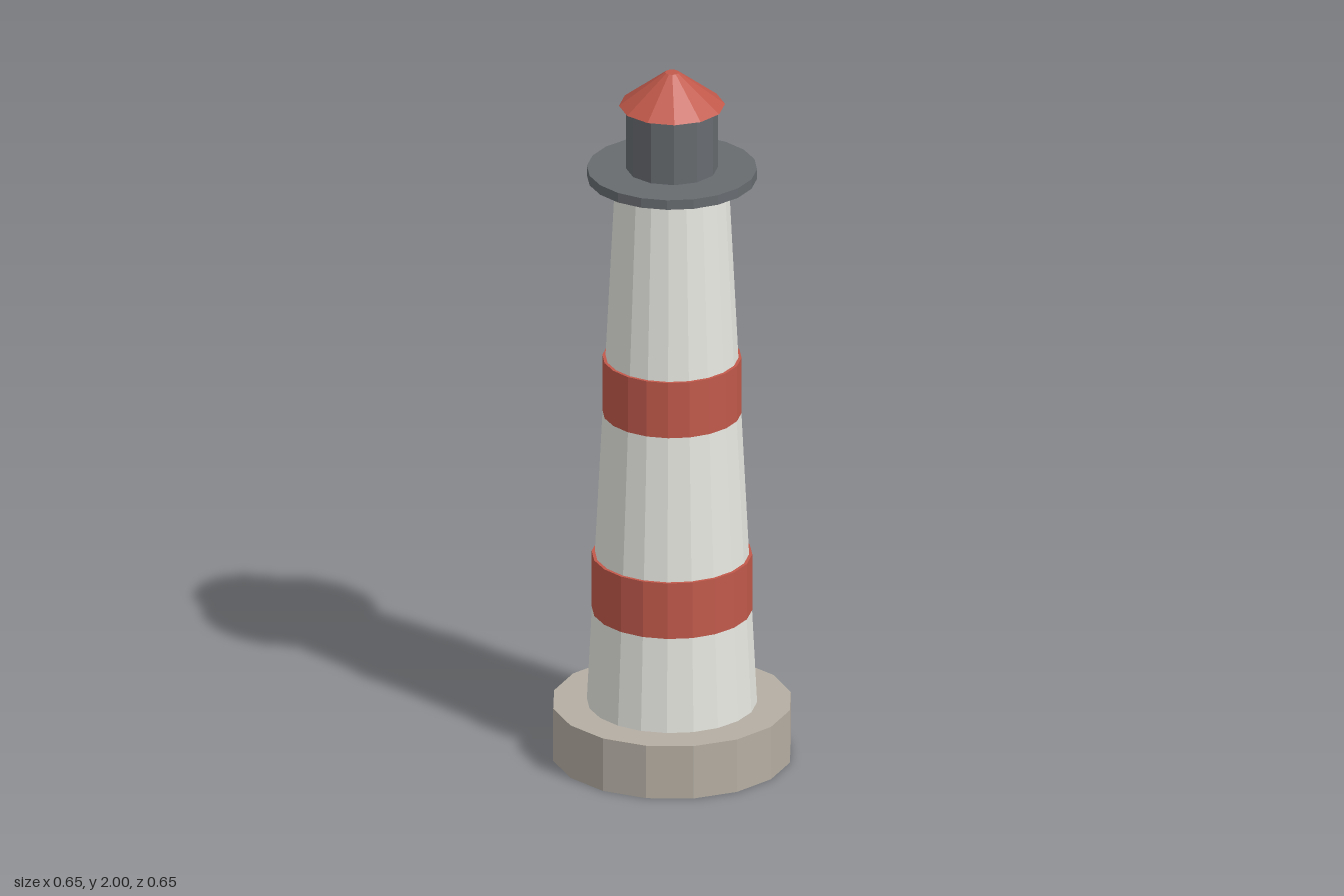
import * as THREE from 'three';

const material = (name, color) => {
  const m = new THREE.MeshStandardMaterial({ color, flatShading: true });
  m.name = name;
  return m;
};

export function createModel() {
  const stone = material('stone', 0xb5aea3);
  const white = material('white', 0xe8e8e2);
  const red = material('red', 0xc1594b);
  const iron = material('iron', 0x676b6f);

  const model = new THREE.Group();
  model.name = 'lighthouse';

  // Faceted drum between two heights, with bottom and top radii
  const drum = (name, mat, y0, y1, r0, r1, sides) => {
    const mesh = new THREE.Mesh(new THREE.CylinderGeometry(r1, r0, y1 - y0, sides), mat);
    mesh.name = name;
    mesh.position.y = (y0 + y1) / 2;
    model.add(mesh);
  };

  drum('foundation', stone, 0, 0.154, 0.327, 0.327, 16);
  drum('tower', white, 0.154, 1.692, 0.231, 0.154, 20);

  // Straight painted bands that hug the tower at their lower edge
  drum('lowerBand', red, 0.425, 0.588, 0.218, 0.218, 20);
  drum('upperBand', red, 1.003, 1.165, 0.189, 0.189, 20);

  // Gallery deck, lantern room and roof
  drum('gallery', iron, 1.692, 1.72, 0.231, 0.231, 20);
  drum('lanternRoom', iron, 1.72, 1.904, 0.125, 0.125, 12);
  drum('roof', red, 1.904, 2, 0.144, 0.019, 12);

  return model;
}
